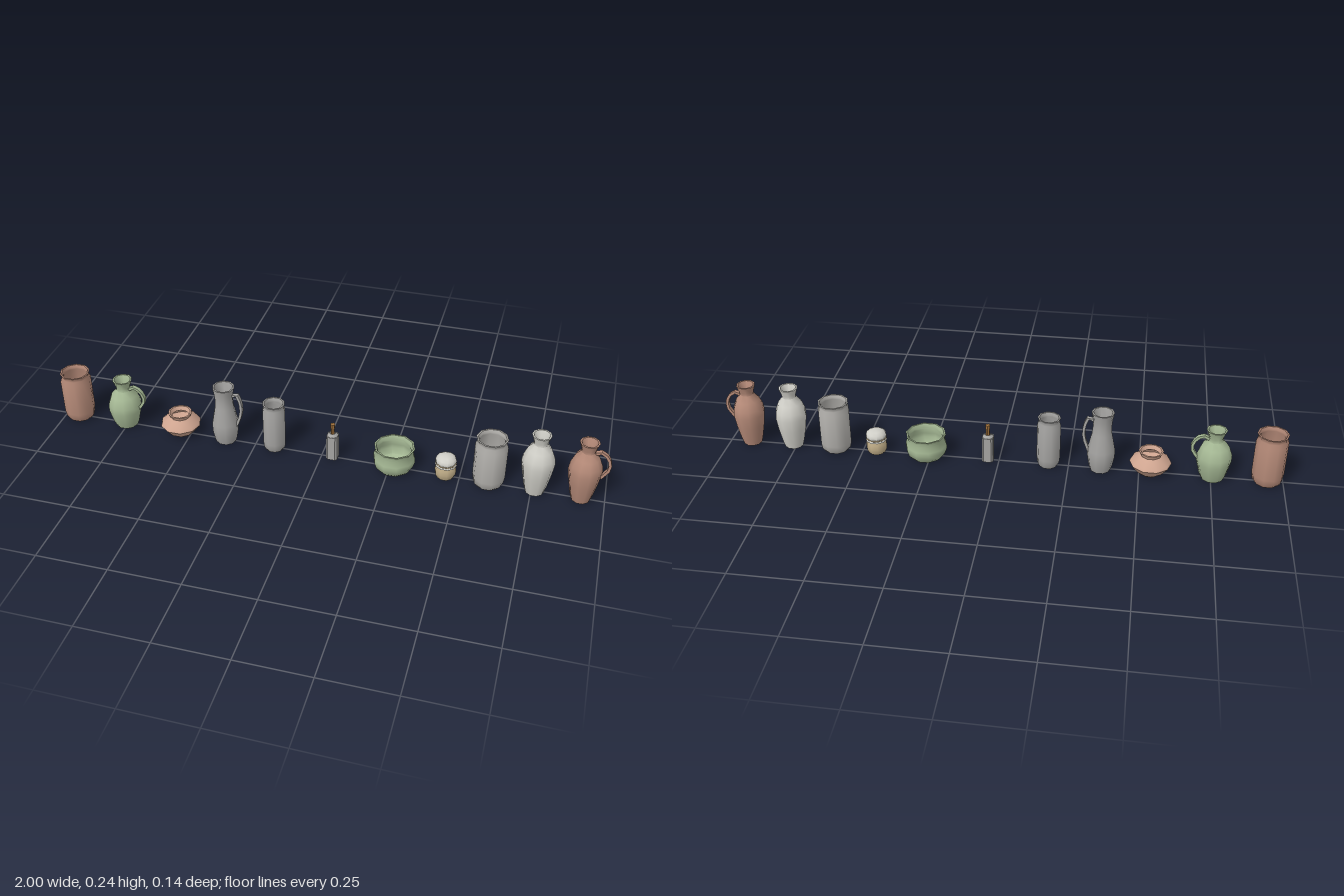
import * as THREE from 'three';
import { toCreasedNormals, mergeGeometries } from 'three/addons/utils/BufferGeometryUtils.js';

const SIDES = 10;
const BROWN = 0xb58a78, GREEN = 0xa5b894, GREY = 0xb0aeaa, DARK_GREY = 0xa5a4a2;
const WHITE = 0xd0cfc8, PINK = 0xcfa590, TAN = 0xc0ad88, CORK = 0xa0713c;

function mesh(name, geometry, color) {
  const m = new THREE.Mesh(geometry, new THREE.MeshStandardMaterial({ color, side: THREE.DoubleSide }));
  m.name = name;
  return m;
}

// Turned shape from an outer profile of [radius, height], listed upwards
function turned(profile) {
  const pts = profile.map(([r, y]) => new THREE.Vector2(r, y));
  return toCreasedNormals(new THREE.LatheGeometry(pts, SIDES, Math.PI / 2), 0.85);
}

// Open vessel: closed foot, outer wall, rim, inner wall and inner floor
function vessel(profile, wall = 0.006) {
  const inner = profile.slice().reverse().map(([r, y], i) =>
    [r - wall, i === profile.length - 1 ? y + wall : y]);
  return turned([[0, 0], ...profile, ...inner, [0, wall]]);
}

// Flat strap handle following a curve in the xy plane
function strap(points, width = 0.015, thickness = 0.01) {
  const curve = new THREE.CatmullRomCurve3(points.map(([x, y]) => new THREE.Vector3(x, y, 0)));
  const outer = [], inner = [], n = 7;
  for (let i = 0; i <= n; i++) {
    const p = curve.getPointAt(i / n), t = curve.getTangentAt(i / n);
    const dx = -t.y * thickness / 2, dy = t.x * thickness / 2;
    outer.push(new THREE.Vector2(p.x + dx, p.y + dy));
    inner.unshift(new THREE.Vector2(p.x - dx, p.y - dy));
  }
  const g = new THREE.ExtrudeGeometry(new THREE.Shape([...outer, ...inner]), { depth: width, bevelEnabled: false });
  g.translate(0, 0, -width / 2);
  return toCreasedNormals(g, 0.6);
}

// Straight storage jar with a grooved neck
const jarProfile = (r, h) => [
  [r * 0.78, 0], [r * 0.94, h * 0.06], [r, h * 0.18], [r, h * 0.84],
  [r * 0.9, h * 0.92], [r * 0.9, h * 0.95], [r * 0.97, h],
];

// Shouldered vase with a flared mouth
const vaseProfile = [
  [0.033, 0], [0.04, 0.025], [0.051, 0.08], [0.057, 0.125], [0.054, 0.15],
  [0.042, 0.18], [0.024, 0.203], [0.026, 0.215], [0.034, 0.24],
];

const vessels = [
  { name: 'brownJar', x: -0.944, color: BROWN, profile: jarProfile(0.056, 0.195) },
  {
    name: 'greenJug', x: -0.755, color: GREEN,
    profile: [[0.04, 0], [0.049, 0.02], [0.061, 0.07], [0.061, 0.095], [0.048, 0.13],
      [0.026, 0.152], [0.025, 0.165], [0.036, 0.195]],
    handle: [[0.024, 0.158], [0.045, 0.167], [0.07, 0.148], [0.079, 0.115], [0.056, 0.078]],
  },
  {
    name: 'squatPot', x: -0.538, color: PINK,
    profile: [[0.035, 0], [0.05, 0.012], [0.074, 0.043], [0.07, 0.052], [0.037, 0.075], [0.044, 0.09]],
  },
  {
    name: 'greyJug', x: -0.363, color: DARK_GREY,
    profile: [[0.037, 0], [0.042, 0.015], [0.049, 0.055], [0.048, 0.085], [0.035, 0.15],
      [0.033, 0.18], [0.035, 0.205], [0.04, 0.232]],
    handle: [[0.032, 0.2], [0.046, 0.209], [0.061, 0.178], [0.063, 0.13], [0.043, 0.07]],
  },
  { name: 'slimJar', x: -0.177, color: DARK_GREY, profile: jarProfile(0.042, 0.195) },
  {
    name: 'greenBowl', x: 0.265, color: GREEN,
    profile: [[0.056, 0], [0.068, 0.013], [0.075, 0.035], [0.075, 0.05], [0.067, 0.073], [0.068, 0.08], [0.073, 0.092]],
  },
  { name: 'greyJar', x: 0.6, color: GREY, profile: jarProfile(0.057, 0.195) },
  { name: 'paleVase', x: 0.761, color: WHITE, profile: vaseProfile },
  {
    name: 'brownJug', x: 0.918, color: BROWN, profile: vaseProfile,
    handle: [[0.024, 0.2], [0.045, 0.206], [0.069, 0.185], [0.077, 0.145], [0.052, 0.103]],
  },
];

// Square bottle with cut corners and a stopper
function bottle() {
  const g = new THREE.Group();
  g.name = 'bottle';
  const a = 0.02, c = 0.013;
  const shape = new THREE.Shape([[a, -c], [a, c], [c, a], [-c, a], [-a, c], [-a, -c], [-c, -a], [c, -a]]
    .map(([x, y]) => new THREE.Vector2(x, y)));
  const body = new THREE.ExtrudeGeometry(shape, { depth: 0.098, bevelEnabled: false });
  body.rotateX(-Math.PI / 2);
  // Sloping shoulder closing the body towards the neck
  const shoulder = new THREE.CylinderGeometry(0.01, 0.022, 0.01, 8, 1, true, Math.PI / 8);
  shoulder.translate(0, 0.102, 0);
  g.add(mesh('bottleBody', mergeGeometries([body, shoulder.toNonIndexed()]), DARK_GREY));
  const neck = new THREE.CylinderGeometry(0.007, 0.007, 0.03, 6);
  neck.translate(0, 0.115, 0);
  const cap = new THREE.CylinderGeometry(0.009, 0.008, 0.018, 6);
  cap.translate(0, 0.136, 0);
  g.add(mesh('stopper', toCreasedNormals(mergeGeometries([neck, cap]), 0.5), CORK));
  g.position.x = 0.04;
  return g;
}

// Small pot tied over with a cloth cover
function coveredPot() {
  const g = new THREE.Group();
  g.name = 'coveredPot';
  g.add(mesh('pot', turned([[0, 0], [0.03, 0], [0.036, 0.012], [0.038, 0.025], [0.037, 0.042],
    [0.032, 0.055], [0.032, 0.07], [0, 0.07]]), TAN));
  g.add(mesh('clothCover', turned([[0.033, 0.052], [0.039, 0.052], [0.035, 0.06], [0.038, 0.07],
    [0.034, 0.081], [0.022, 0.088], [0, 0.091]]), WHITE));
  const cord = new THREE.TorusGeometry(0.035, 0.003, 5, SIDES);
  cord.rotateX(Math.PI / 2);
  cord.translate(0, 0.06, 0);
  g.add(mesh('cord', cord, TAN));
  g.position.x = 0.449;
  return g;
}

export function createModel() {
  const model = new THREE.Group();
  model.name = 'potteryRow';
  for (const v of vessels) {
    const g = new THREE.Group();
    g.name = v.name;
    g.position.x = v.x;
    g.add(mesh('vesselBody', vessel(v.profile), v.color));
    if (v.handle) g.add(mesh('handle', strap(v.handle), v.color));
    model.add(g);
  }
  model.add(bottle(), coveredPot());
  return model;
}
